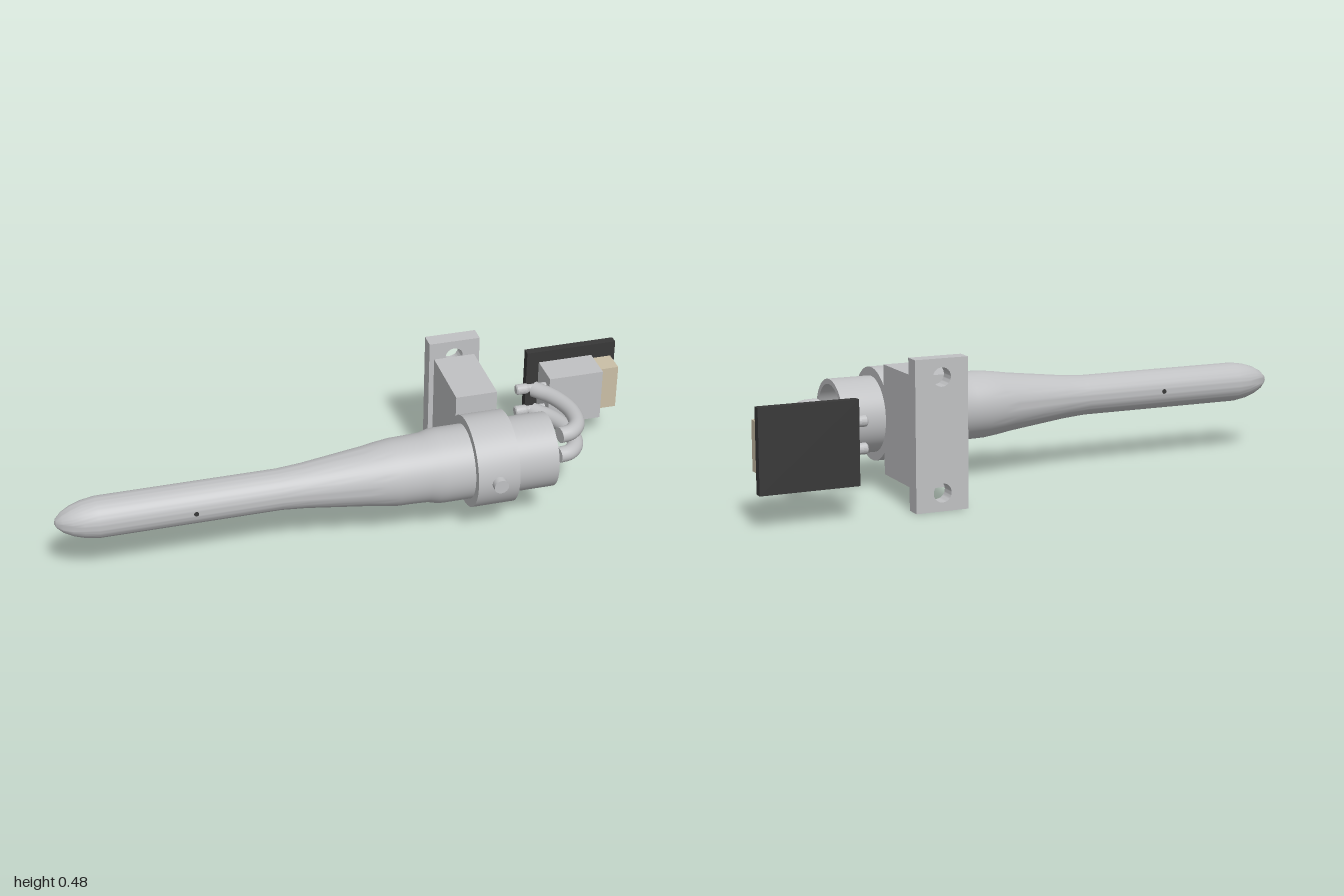
import * as THREE from 'three';
import { toCreasedNormals } from 'three/addons/utils/BufferGeometryUtils.js';

const AXIS_Y = 0.241, AXIS_Z = 0.118, CLAMP_X = 0.412;

function material(name, color) {
  const m = new THREE.MeshStandardMaterial({ color });
  m.name = name;
  return m;
}

export function createModel() {
  const group = new THREE.Group();
  const grey = material('light grey', 0xc0c1c3);
  const black = material('board black', 0x383838);
  const tan = material('connector tan', 0xcabfa6);

  function add(name, geometry, mat, x = 0, y = 0, z = 0) {
    const mesh = new THREE.Mesh(geometry, mat);
    mesh.name = name;
    mesh.position.set(x, y, z);
    group.add(mesh);
    return mesh;
  }
  // Box given by its limits on each axis
  function box(name, mat, [x0, x1], [y0, y1], [z0, z1]) {
    return add(name, new THREE.BoxGeometry(x1 - x0, y1 - y0, z1 - z0), mat,
      (x0 + x1) / 2, (y0 + y1) / 2, (z0 + z1) / 2);
  }
  // Turned part along x; profile is [x, radius], ordered towards +x on the outside
  function turned(name, profile, y, z, segments = 64) {
    const points = profile.map(([x, r]) => new THREE.Vector2(r, x));
    const geometry = toCreasedNormals(new THREE.LatheGeometry(points, segments), 0.5);
    geometry.rotateZ(-Math.PI / 2);
    return add(name, geometry, grey, 0, y, z);
  }

  // Probe: rounded tip, slim shaft, flared body and hollow rear cup
  turned('probeBody', [
    [-1, 0], [-0.995, 0.014], [-0.975, 0.033], [-0.945, 0.049], [-0.91, 0.06], [-0.865, 0.067],
    [-0.28, 0.067], [-0.2, 0.073], [-0.1, 0.085], [0, 0.097], [0.05, 0.105], [0.1, 0.111],
    [0.15, 0.112], [0.2, 0.114], [0.23, 0.122], [0.25, 0.1235],
    [0.625, 0.1235], [0.625, 0.107], [0.5, 0.107], [0.5, 0],
  ], AXIS_Y, AXIS_Z);

  // Small port on both sides of the shaft
  for (const side of [1, -1]) {
    const port = new THREE.CylinderGeometry(0.008, 0.008, 0.004, 16).rotateX(Math.PI / 2);
    add('shaftPort', port, black, -0.56, AXIS_Y, AXIS_Z + side * 0.066);
  }

  // Clamp: ring, set screw, block and mounting plate with two holes
  turned('clampRing', [[0.342, 0], [0.342, 0.152], [0.482, 0.152], [0.482, 0.12]], AXIS_Y, AXIS_Z, 72);
  add('clampScrew', new THREE.CylinderGeometry(0.024, 0.024, 0.04, 32).rotateX(Math.PI / 2),
    grey, CLAMP_X, AXIS_Y, 0.272);
  box('clampBlock', grey, [0.342, 0.482], [0.063, 0.418], [-0.238, 0.01]);

  const plate = new THREE.Shape([
    new THREE.Vector2(0.325, 0), new THREE.Vector2(0.5, 0),
    new THREE.Vector2(0.5, 0.478), new THREE.Vector2(0.325, 0.478),
  ]);
  for (const y of [0.058, 0.42]) {
    plate.holes.push(new THREE.Path().absarc(CLAMP_X, y, 0.03, 0, Math.PI * 2, true));
  }
  const plateGeometry = new THREE.ExtrudeGeometry(plate, { depth: 0.053, bevelEnabled: false, curveSegments: 24 });
  add('mountingPlate', toCreasedNormals(plateGeometry, 0.6), grey, 0, 0, -0.291);

  // Circuit board with sensor housing and connector
  box('circuitBoard', black, [0.682, 1], [0.107, 0.373], [-0.291, -0.2625]);
  box('sensorHousing', grey, [0.725, 0.915], [0.149, 0.332], [-0.2625, -0.148]);
  box('connector', tan, [0.915, 0.985], [0.161, 0.319], [-0.2625, -0.184]);

  // Two pressure lines: cup fitting, bent hose and sensor fitting
  for (const side of [1, -1]) {
    const y0 = AXIS_Y + side * 0.039, y1 = AXIS_Y + side * 0.043;
    turned('cupFitting', [[0.5, 0.017], [0.632, 0.017], [0.632, 0]], y0, 0.112, 24);
    turned('sensorFitting', [
      [0.618, 0], [0.618, 0.014], [0.622, 0.018], [0.655, 0.018], [0.665, 0.013], [0.725, 0.013],
    ], y1, -0.187, 24);

    const path = new THREE.CatmullRomCurve3([
      [0.67, 0.11], [0.71, 0.102], [0.744, 0.066], [0.757, 0.005],
      [0.748, -0.06], [0.72, -0.125], [0.68, -0.175],
    ].map(([x, z], i) => new THREE.Vector3(x, THREE.MathUtils.lerp(y0, y1, i / 6), z)));
    add('hose', new THREE.TubeGeometry(path, 48, 0.027, 24), grey);
    for (const t of [0, 1]) {
      const end = path.getPointAt(t);
      const cap = add('hoseEnd', new THREE.CircleGeometry(0.027, 24), grey, end.x, end.y, end.z);
      const outward = path.getTangentAt(t).multiplyScalar(t ? 1 : -1);
      cap.quaternion.setFromUnitVectors(new THREE.Vector3(0, 0, 1), outward);
    }
  }

  return group;
}
